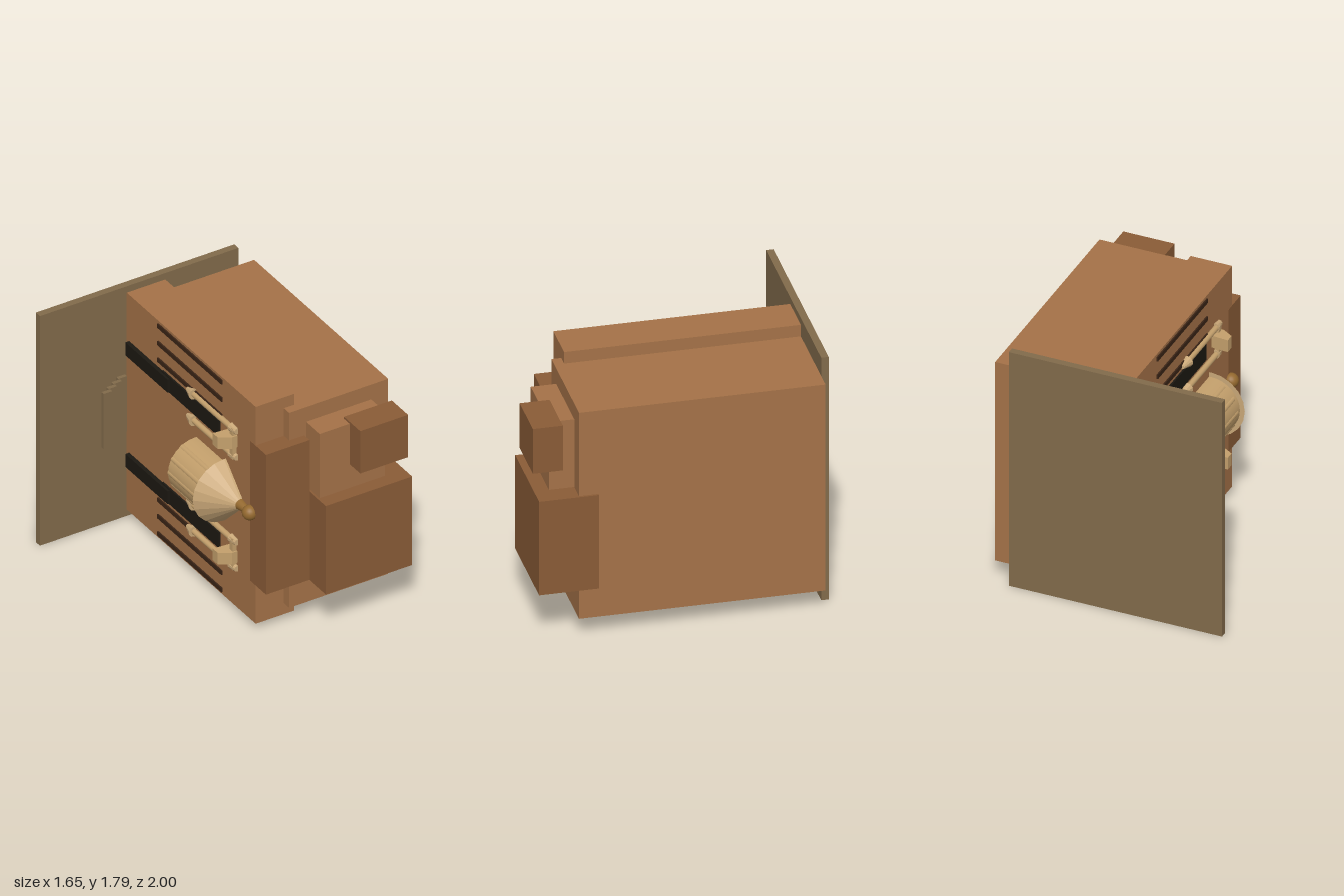
import * as THREE from 'three';

export function createModel() {
  const model = new THREE.Group();
  const mat = (color, flatShading = false) => new THREE.MeshStandardMaterial({ color, flatShading });
  const brown = mat(0xa57248), darkBrown = mat(0x8a5c37), olive = mat(0x826b4b);
  const tan = mat(0xc4a06c), tanFlat = mat(0xcaa878, true), black = mat(0x1c1812);
  const slotDark = mat(0x3a2416), bronze = mat(0x94692f);

  const add = (name, geometry, material, x = 0, y = 0, z = 0) => {
    const mesh = new THREE.Mesh(geometry, material);
    mesh.name = name;
    mesh.position.set(x, y, z);
    model.add(mesh);
    return mesh;
  };
  // Box given by its limits on each axis
  const box = (name, material, [x0, x1], [y0, y1], [z0, z1]) =>
    add(name, new THREE.BoxGeometry(x1 - x0, y1 - y0, z1 - z0), material,
      (x0 + x1) / 2, (y0 + y1) / 2, (z0 + z1) / 2);
  // Cylinder or cone lying along z, from z0 to z1
  const zCylinder = (name, material, x, y, z0, z1, r0, r1 = r0, sides = 24) =>
    add(name, new THREE.CylinderGeometry(r1, r0, z1 - z0, sides).rotateX(Math.PI / 2),
      material, x, y, (z0 + z1) / 2);

  // Back plate and the main blocks
  box('backPlate', olive, [-0.83, 0.69], [0, 1.79], [-1, -0.95]);
  box('sideSpine', brown, [-0.165, 0.13], [0.05, 1.74], [-0.95, 0.635]);
  box('mainBody', brown, [0.05, 0.81], [0.135, 1.655], [-0.95, 0.7]);
  box('frontPanel', darkBrown, [-0.167, 0.165], [0.35, 1.44], [0.57, 0.765]);
  box('frontHousing', brown, [0.18, 0.68], [0.4, 1.54], [0.68, 0.87]);
  box('upperFrontBox', darkBrown, [0.41, 0.775], [1.225, 1.555], [0.8, 1]);
  box('lowerFrontBox', darkBrown, [0.165, 0.825], [0.35, 1.04], [0.57, 0.97]);

  // Drum on the side with its cone, stem and ball
  const cx = -0.18, cy = 0.895;
  zCylinder('drum', tan, cx, cy, -0.09, 0.27, 0.205, 0.205, 32);
  zCylinder('drumCone', tanFlat, cx, cy, 0.27, 0.47, 0.24, 0.04, 20);
  zCylinder('coneStem', bronze, cx, cy, 0.45, 0.56, 0.042, 0.022, 16);
  add('ball', new THREE.SphereGeometry(0.052, 20, 14), bronze, cx, cy, 0.585);
  for (const degrees of [120, 150, 180, 210, 240]) {
    const a = THREE.MathUtils.degToRad(degrees);
    zCylinder('drumRib', tan, cx + 0.185 * Math.cos(a), cy + 0.185 * Math.sin(a), -0.09, 0.24, 0.025, 0.025, 12);
  }

  // Stepped slats between the plate and the side
  for (let i = 0; i < 4; i++) {
    const x = -0.42 + i * 0.058, z = -0.85 - i * 0.033;
    box('steppedSlat', olive, [x, x + 0.065], [0.68, 1.11], [z, z + 0.026]);
  }

  // Wedge bracket outline, seen from above
  const wedge = new THREE.Shape([[0, 0], [0.12, -0.01], [0.12, 0.05], [0.04, 0.1], [0, 0.1]]
    .map(([x, z]) => new THREE.Vector2(-x, z)));

  // Vents, black panels, rods and brackets, mirrored about the drum
  for (const s of [1, -1]) {
    const mirrorY = (offset) => cy + s * offset;
    for (const offset of [0.81, 0.675, 0.545]) {
      const y = mirrorY(offset);
      box('ventSlot', slotDark, [-0.175, -0.15], [y - 0.016, y + 0.016], [-0.56, 0.23]);
    }
    const yPanel = mirrorY(0.435);
    box('blackPanel', black, [-0.178, -0.15], [yPanel - 0.06, yPanel + 0.06], [-0.5, 0.2]);
    box('rearBlackPanel', black, [-0.195, -0.15], [yPanel - 0.05, yPanel + 0.05], [-0.92, -0.4]);

    for (const offset of [0.535, 0.33]) {
      const y = mirrorY(offset);
      zCylinder('rod', tan, -0.178, y, -0.12, 0.38, 0.02, 0.02, 12);
      zCylinder('rodFoot', tanFlat, -0.178, y, -0.18, -0.1, 0.015, 0.04, 10);
      zCylinder('rodTip', tanFlat, -0.172, y, 0.35, 0.42, 0.032, 0.022, 10);
    }
    const bracket = new THREE.ExtrudeGeometry(wedge, { depth: 0.09, bevelEnabled: false });
    bracket.rotateX(Math.PI / 2);
    add('bracket', bracket, tan, -0.165, mirrorY(0.45) + 0.045, 0.31);
    box('bracketBar', tan, [-0.195, -0.15], [mirrorY(0.43) - 0.12, mirrorY(0.43) + 0.12], [0.36, 0.4]);
  }
  return model;
}
